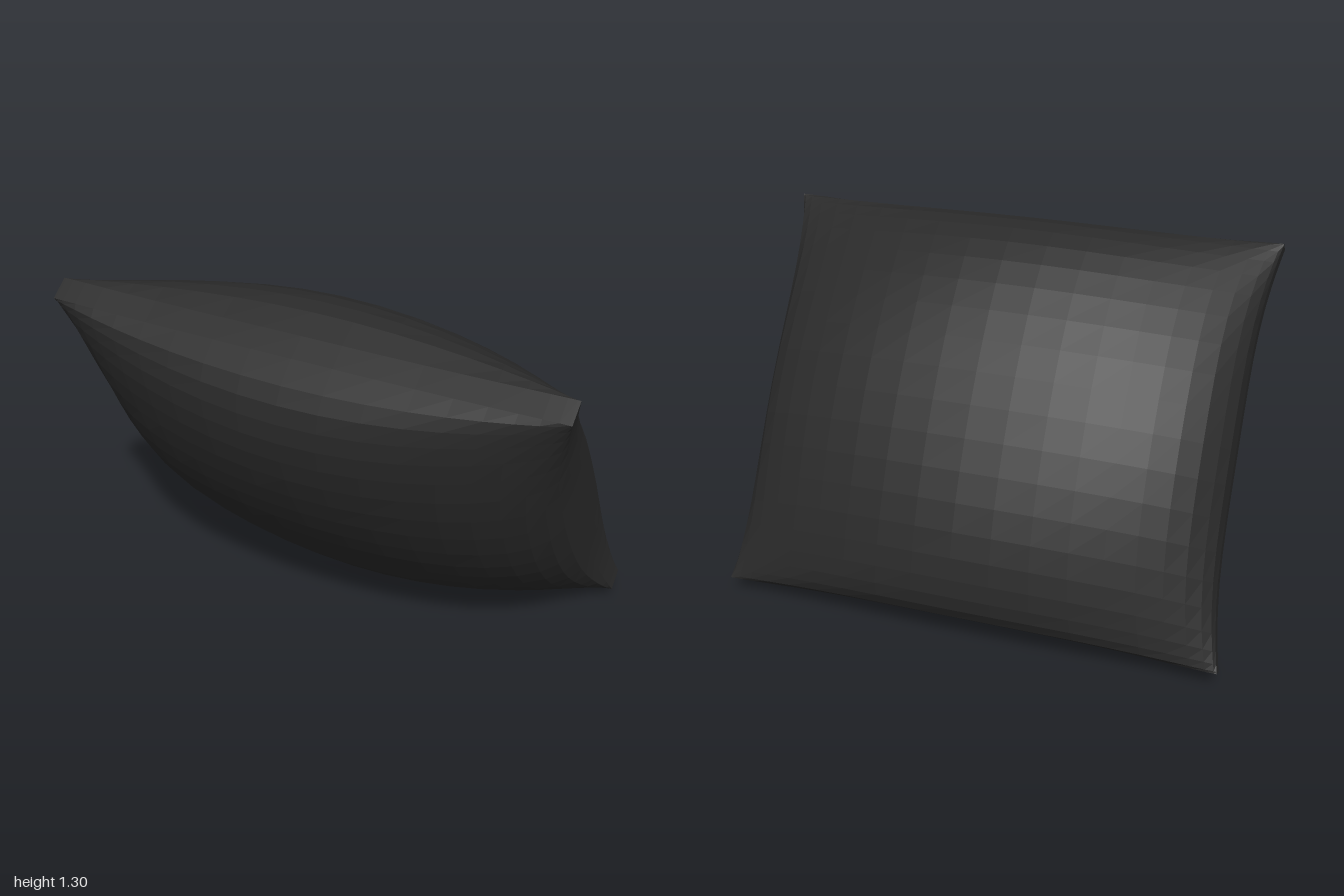
import * as THREE from 'three';
import { mergeVertices } from 'three/addons/utils/BufferGeometryUtils.js';

const HALF_WIDTH = 0.9, HALF_HEIGHT = 0.735, HALF_DEPTH = 0.37, RIM = 0.04;

// Box puffed into a cushion: domed faces, pinched-in edges, thin blunt corners
function cushionGeometry() {
  let g = new THREE.BoxGeometry(2, 2, 2, 20, 20, 1);
  g.deleteAttribute('uv');
  g.deleteAttribute('normal');
  g = mergeVertices(g);
  const p = g.attributes.position;
  const ease = (t) => Math.sin(t * Math.PI / 2); // tighter rows near the rim
  const dome = (t) => Math.pow(Math.max(0, 1 - t * t), 0.35);
  for (let i = 0; i < p.count; i++) {
    const a = ease(p.getX(i)), b = ease(p.getY(i));
    const blunt = 1 - 0.02 * Math.pow(a * b, 8);
    const x = HALF_WIDTH * a * (1 - 0.075 * (1 - b ** 4)) * blunt;
    const y = HALF_HEIGHT * b * (1 - 0.04 * (1 - a ** 4)) * blunt;
    // The corners carry less filling, so each side wall narrows to a lens
    const taper = Math.pow(Math.max(0, 1 - a * a * b * b), 0.7);
    const depth = RIM + (HALF_DEPTH - RIM) * dome(a) * dome(b) * taper;
    p.setXYZ(i, x, y, Math.sign(p.getZ(i)) * depth);
  }
  g.computeVertexNormals();
  return g;
}

export function createModel() {
  const group = new THREE.Group();
  const cushion = new THREE.Mesh(
    cushionGeometry(),
    new THREE.MeshStandardMaterial({ color: 0x2a2a2a, flatShading: true })
  );
  cushion.name = 'cushion';

  // Turned to one side and leaning forward
  const across = new THREE.Vector3(0.892, -0.01, -0.454).normalize();
  const facing = new THREE.Vector3().crossVectors(across, new THREE.Vector3(0.269, 0.807, 0.524)).normalize();
  const up = new THREE.Vector3().crossVectors(facing, across);
  cushion.quaternion.setFromRotationMatrix(new THREE.Matrix4().makeBasis(across, up, facing));

  // Rest the lowest point on the ground
  group.add(cushion);
  const bounds = new THREE.Box3().setFromObject(cushion, true);
  cushion.position.y = -bounds.min.y;
  return group;
}
